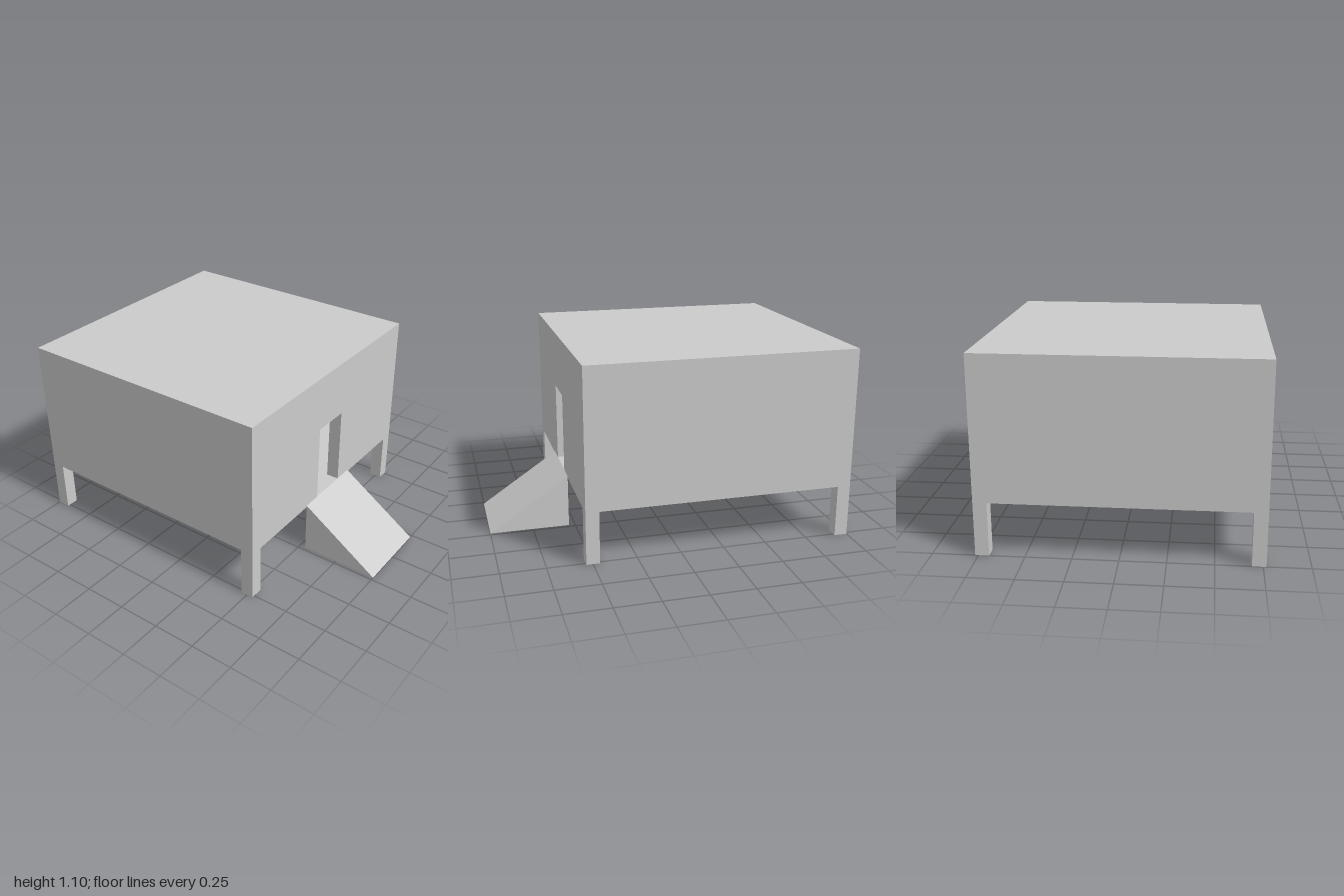
import * as THREE from 'three';

const material = new THREE.MeshStandardMaterial({ color: 0xcccccc, flatShading: true });

function add(parent, name, geometry, x = 0, y = 0, z = 0) {
  const mesh = new THREE.Mesh(geometry, material);
  mesh.name = name;
  mesh.position.set(x, y, z);
  parent.add(mesh);
  return mesh;
}

// Box given by its lower and upper corners
function box(parent, name, [x0, y0, z0], [x1, y1, z1]) {
  return add(parent, name, new THREE.BoxGeometry(x1 - x0, y1 - y0, z1 - z0),
    (x0 + x1) / 2, (y0 + y1) / 2, (z0 + z1) / 2);
}

export function createModel() {
  const group = new THREE.Group();
  group.name = 'stiltHouse';

  const W = 0.767, front = 0.537, back = -1;
  const base = 0.3, floorTop = 0.31, ceiling = 1.08, top = 1.1;
  const wall = 0.075;

  // Floor and flat roof
  box(group, 'floor', [-W, base, back], [W, floorTop, front]);
  box(group, 'roof', [-W, ceiling, back], [W, top, front]);

  // Back and side walls
  box(group, 'backWall', [-W, floorTop, back], [W, ceiling, back + wall]);
  for (const [name, x] of [['leftWall', W - wall], ['rightWall', -W]]) {
    box(group, name, [x, floorTop, back + wall], [x + wall, ceiling, front - wall]);
  }

  // Front wall with the doorway cut up from its lower edge
  const outline = new THREE.Shape();
  [[-W, floorTop], [-0.118, floorTop], [-0.118, 0.77], [0.115, 0.77],
    [0.115, floorTop], [W, floorTop], [W, ceiling], [-W, ceiling]]
    .forEach(([x, y], i) => (i ? outline.lineTo(x, y) : outline.moveTo(x, y)));
  outline.closePath();
  add(group, 'frontWall', new THREE.ExtrudeGeometry(outline, { depth: wall, bevelEnabled: false }),
    0, 0, front - wall);

  // Four corner stilts
  for (const x of [-W, W - wall]) {
    for (const z of [back, front - wall]) {
      box(group, 'stilt', [x, 0, z], [x + wall, base, z + wall]);
    }
  }

  // Wedge ramp: side profile extruded across the width
  const wedge = new THREE.Shape();
  wedge.moveTo(-1, 0);
  wedge.lineTo(-front, 0);
  wedge.lineTo(-front, floorTop);
  wedge.closePath();
  const rampGeometry = new THREE.ExtrudeGeometry(wedge, { depth: 0.46, bevelEnabled: false });
  rampGeometry.rotateY(Math.PI / 2);
  add(group, 'ramp', rampGeometry, -0.23, 0, 0);

  // Table at the back of the room, turned slightly
  const table = new THREE.Group();
  table.name = 'table';
  table.position.set(-0.2, floorTop, -0.62);
  table.rotation.y = 0.17;
  group.add(table);
  const tw = 0.22, td = 0.2, leg = 0.027;
  box(table, 'tableTop', [-tw, 0.136, -td], [tw, 0.15, td]);
  for (const x of [-tw, tw - leg]) {
    for (const z of [-td, td - leg]) {
      box(table, 'tableLeg', [x, 0, z], [x + leg, 0.136, z + leg]);
    }
  }

  // Candle with its flame
  add(table, 'candle', new THREE.CylinderGeometry(0.006, 0.006, 0.055, 12), 0.18, 0.1775, 0);
  add(table, 'flame', new THREE.ConeGeometry(0.008, 0.024, 12), 0.18, 0.216, 0);

  return group;
}
